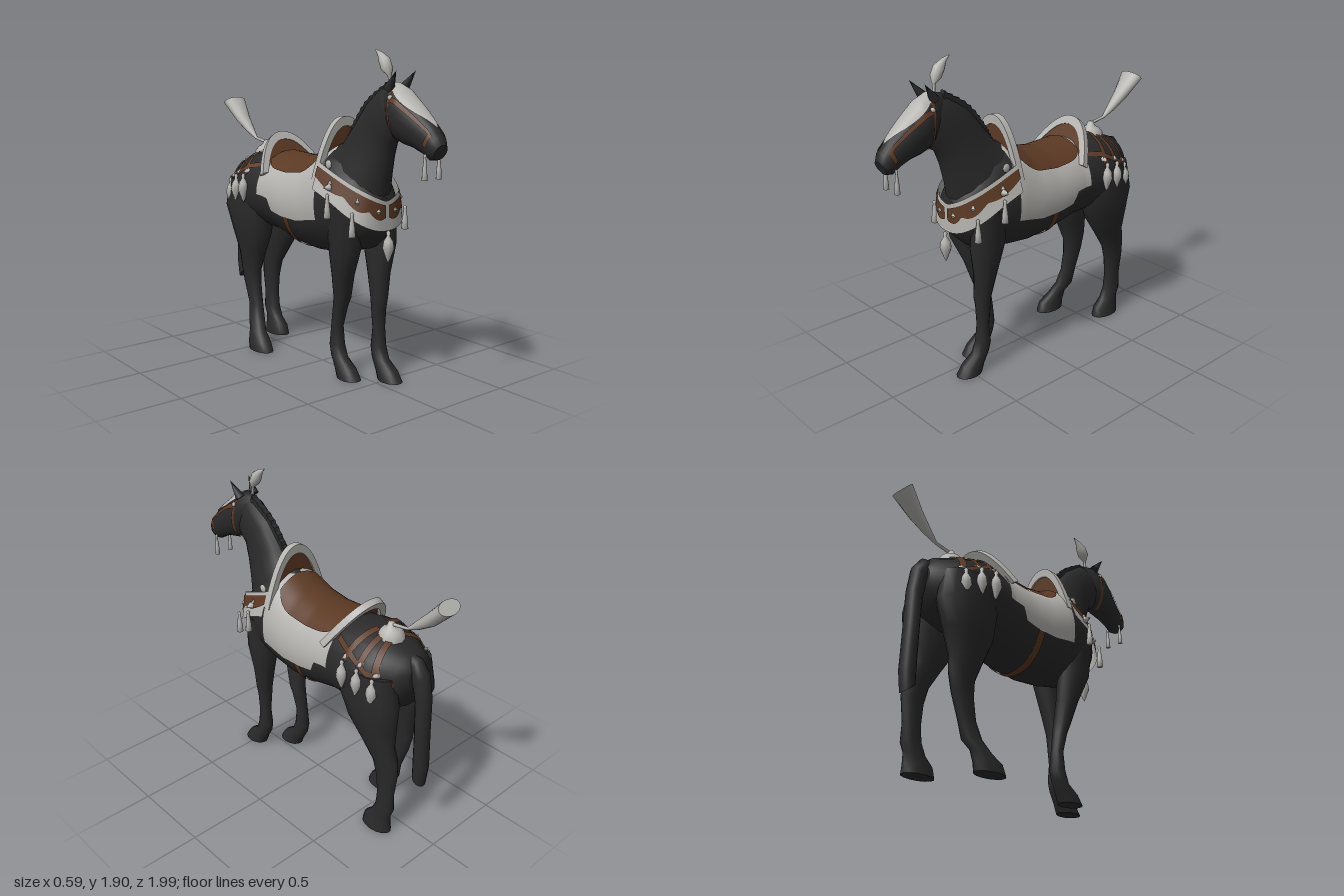
import * as THREE from 'three';

const paint = (name, color) => Object.assign(new THREE.MeshStandardMaterial({ color, side: THREE.DoubleSide }), { name });
const RAD = Math.PI / 180, lerp = THREE.MathUtils.lerp, clamp = THREE.MathUtils.clamp;
const V = (x, y, z) => new THREE.Vector3(x, y, z);

// Section: [zA, yA, zB, yB, halfWidth, x]; an ellipse whose long axis runs from B to A.
function surface(secs) {
  return (t, a, off = 0) => {
    const i = clamp(Math.floor(t), 0, secs.length - 2), f = t - i;
    const [za, ya, zb, yb, w, x] = secs[i].map((v, k) => lerp(v, secs[i + 1][k], f));
    const h = Math.hypot(za - zb, ya - yb) / 2, s = Math.sin(a) * (h + off) / (2 * h);
    return V(x + Math.cos(a) * (w + off), (ya + yb) / 2 + s * (ya - yb), (za + zb) / 2 + s * (za - zb));
  };
}

// Closed skin through the sections, with flat end caps.
function loft(secs, n = 20) {
  const P = surface(secs), pos = [], idx = [], last = secs.length - 1;
  const ring = t => { for (let j = 0; j < n; j++) pos.push(...P(t, j / n * 2 * Math.PI).toArray()); };
  for (let i = 0; i <= last; i++) ring(i);
  for (let i = 0; i < last; i++) for (let j = 0; j < n; j++) {
    const a = i * n + j, b = i * n + (j + 1) % n;
    idx.push(a, b, a + n, b, b + n, a + n);
  }
  for (const t of [0, last]) {
    const s = pos.length / 3;
    ring(t);
    for (let j = 1; j < n - 1; j++) t ? idx.push(s, s + j, s + j + 1) : idx.push(s, s + j + 1, s + j);
  }
  // Turn the faces outward if the sections run the other way.
  const p = i => V(pos[3 * i], pos[3 * i + 1], pos[3 * i + 2]);
  let vol = 0;
  for (let i = 0; i < idx.length; i += 3) vol += p(idx[i]).dot(p(idx[i + 1]).cross(p(idx[i + 2])));
  if (vol < 0) idx.reverse();
  const g = new THREE.BufferGeometry();
  g.setAttribute('position', new THREE.Float32BufferAttribute(pos, 3));
  g.setIndex(idx);
  g.computeVertexNormals();
  return g;
}

// Thin sheet following fn(u, v).
function sheet(fn, nu = 16, nv = 4) {
  const g = new THREE.PlaneGeometry(1, 1, nu, nv), p = g.attributes.position;
  for (let i = 0; i < p.count; i++) p.setXYZ(i, ...fn(p.getX(i) + 0.5, 0.5 - p.getY(i)).toArray());
  g.computeVertexNormals();
  return g;
}

const lathe = pts => new THREE.LatheGeometry(pts.map(([r, y]) => new THREE.Vector2(r, y)), 10);

export function createModel() {
  const model = new THREE.Group();
  const coat = paint('black coat', 0x292929), leather = paint('brown leather', 0x5b3923), silver = paint('pale silver', 0xb4b3af);
  const add = (name, geo, mat, pos = [0, 0, 0], parent = model) => {
    const m = new THREE.Mesh(geo, mat);
    m.name = name;
    m.position.set(...pos);
    parent.add(m);
    return m;
  };

  // Barrel: z, top, bottom, half width
  const barrel = [[-0.79, 1.15, 1.0, 0.07], [-0.75, 1.21, 0.88, 0.16], [-0.62, 1.255, 0.82, 0.24], [-0.48, 1.295, 0.8, 0.262],
    [-0.3, 1.27, 0.785, 0.238], [-0.1, 1.262, 0.735, 0.238], [0.05, 1.285, 0.72, 0.24], [0.2, 1.355, 0.73, 0.235],
    [0.33, 1.34, 0.76, 0.218], [0.44, 1.26, 0.79, 0.188], [0.515, 1.17, 0.86, 0.14], [0.55, 1.1, 0.95, 0.07]]
    .map(([z, t, b, w]) => [z, t, z, b, w, 0]);
  add('body', loft(barrel, 28), coat);
  const bodyAt = surface(barrel);
  const onBody = (z, a, off) => {
    let i = 0;
    while (i < barrel.length - 2 && barrel[i + 1][0] < z) i++;
    return bodyAt(i + (z - barrel[i][0]) / (barrel[i + 1][0] - barrel[i][0]), a, off);
  };

  // Neck, head, ears and mane
  add('neck', loft([[0.13, 1.34, 0.53, 1.0, 0.165, 0], [0.24, 1.39, 0.565, 1.19, 0.125, 0], [0.31, 1.48, 0.6, 1.31, 0.095, 0],
    [0.42, 1.61, 0.635, 1.4, 0.08, -0.005], [0.55, 1.7, 0.7, 1.44, 0.075, -0.015], [0.65, 1.7, 0.74, 1.5, 0.05, -0.015]]), coat);
  const skull = [[0.57, 1.715, 0.63, 1.47, 0.05, -0.015], [0.65, 1.73, 0.68, 1.425, 0.088, -0.015], [0.73, 1.695, 0.74, 1.405, 0.098, -0.015],
    [0.84, 1.605, 0.81, 1.39, 0.082, -0.013], [0.93, 1.525, 0.87, 1.365, 0.064, -0.01], [0.985, 1.465, 0.92, 1.335, 0.062, -0.01],
    [1.0, 1.42, 0.96, 1.34, 0.045, -0.01]];
  add('head', loft(skull), coat);
  const onHead = surface(skull);
  for (const s of [-1, 1]) {
    const ear = add('ear', new THREE.ConeGeometry(0.03, 0.12, 8), coat, [-0.017 + s * 0.062, 1.745, 0.69]);
    ear.rotation.set(0.65, 0, -s * 0.15);
  }
  const crest = new THREE.CatmullRomCurve3([V(0, 1.72, 0.58), V(0, 1.62, 0.42), V(0, 1.49, 0.31), V(0, 1.39, 0.25)]);
  const maneEdge = crest.getPoints(22).map((p, i) => [p.z - (i % 2 ? 0.005 : 0.011), p.y + (i % 2 ? 0.004 : 0.009)]);
  const mane = new THREE.Shape([...maneEdge, [0.32, 1.32], [0.45, 1.5], [0.6, 1.65]].map(([z, y]) => new THREE.Vector2(-z, y)));
  add('mane', new THREE.ExtrudeGeometry(mane, { depth: 0.036, bevelEnabled: false }).translate(0, 0, -0.018).rotateY(Math.PI / 2), coat);

  // Tail
  add('tail', loft([[-0.69, 1.215, -0.7, 1.08, 0.04, 0], [-0.8, 1.195, -0.755, 1.07, 0.05, 0], [-0.858, 1.12, -0.78, 1.0, 0.052, -0.004],
    [-0.885, 0.97, -0.795, 0.92, 0.05, -0.006], [-0.89, 0.75, -0.805, 0.72, 0.05, -0.006], [-0.9, 0.5, -0.81, 0.49, 0.05, -0.006],
    [-0.885, 0.37, -0.81, 0.43, 0.045, -0.006]], 14), coat);

  // Legs: zFront, yFront, zBack, yBack, half width; the stride shifts the lower part of the right legs
  const foreLeg = [[0.49, 1.05, 0.24, 1.02, 0.085], [0.495, 0.8, 0.27, 0.8, 0.082], [0.465, 0.63, 0.32, 0.62, 0.064], [0.46, 0.48, 0.355, 0.48, 0.053],
    [0.45, 0.42, 0.36, 0.41, 0.046], [0.445, 0.3, 0.37, 0.29, 0.038], [0.455, 0.19, 0.36, 0.18, 0.046], [0.49, 0.11, 0.37, 0.12, 0.044],
    [0.56, 0.06, 0.41, 0.05, 0.056], [0.6, 0, 0.43, 0, 0.062]];
  const hindLeg = [[-0.36, 1.1, -0.75, 1.1, 0.1], [-0.37, 0.92, -0.783, 0.92, 0.12], [-0.43, 0.76, -0.767, 0.76, 0.1], [-0.53, 0.62, -0.757, 0.62, 0.07],
    [-0.61, 0.5, -0.785, 0.53, 0.052], [-0.64, 0.4, -0.785, 0.42, 0.046], [-0.65, 0.28, -0.768, 0.28, 0.038], [-0.645, 0.18, -0.77, 0.17, 0.046],
    [-0.61, 0.11, -0.75, 0.12, 0.044], [-0.56, 0.06, -0.75, 0.05, 0.056], [-0.545, 0, -0.755, 0, 0.062]];
  const leg = (name, secs, xTop, xLow, kick, shift, reach) => add(name, loft(secs.map(([za, ya, zb, yb, w]) => {
    const k = clamp((0.92 - ya) / reach, 0, 1), dz = shift * k;
    const x = lerp(xTop, xLow, clamp((0.92 - ya) / 0.45, 0, 1)) + kick * clamp((0.22 - ya) / 0.15, 0, 1);
    return [za + dz, ya, zb + dz, yb, w, x];
  }), 14), coat);
  leg('leftFrontLeg', foreLeg, 0.13, 0.1, -0.005, 0, 0.5);
  leg('rightFrontLeg', foreLeg, -0.13, -0.072, 0, -0.175, 0.6);
  leg('leftHindLeg', hindLeg, 0.145, 0.118, 0, 0, 0.5);
  leg('rightHindLeg', hindLeg, -0.145, -0.128, -0.05, 0.235, 0.9);

  // Saddle cloth with a shorter rear corner, seat and girth
  const cloth = (z0, z1, low0, low1) => sheet((u, v) => {
    const low = lerp(low0, low1, u);
    return onBody(lerp(z0, z1, u), lerp(low, Math.PI - low, v), 0.013);
  }, 16, 36);
  add('saddleCloth', cloth(0.23, -0.2, -0.31, -0.26), silver);
  add('saddleClothCorner', cloth(-0.2, -0.235, -0.26, 0), silver);
  add('saddleClothRear', cloth(-0.235, -0.34, 0, 0), silver);
  add('seat', sheet((u, v) => {
    const low = (41 + 14 * Math.abs(2 * u - 1) ** 6) * RAD;
    return onBody(lerp(0.165, -0.32, u), lerp(low, Math.PI - low, v), 0.021);
  }, 20, 20), leather);
  add('girth', sheet((u, v) => onBody(lerp(-0.04, -0.09, v), lerp(-10, -170, u) * RAD, 0.007), 28, 2), leather);

  // Pommel and cantle: arched rims with a leather lining
  const arc = (w, foot, top) => Array.from({ length: 25 }, (_, i) => {
    const k = i / 12 - 1;
    return new THREE.Vector2(k * w, top - (top - foot) * Math.abs(k) ** 2.2);
  });
  const arch = (name, w, height, side) => {
    const g = new THREE.Group(), inner = arc(w - 0.04, 0, height - 0.055);
    g.name = name;
    const rim = new THREE.Shape([...arc(w, 0, height), ...[...inner].reverse()]);
    add(name + 'Rim', new THREE.ExtrudeGeometry(rim, { depth: 0.04, bevelEnabled: false }).translate(0, 0, -0.02), silver, [0, 0, 0], g);
    add(name + 'Lining', new THREE.ExtrudeGeometry(new THREE.Shape(inner), { depth: 0.008, bevelEnabled: false }), leather, [0, 0, side * 0.008], g);
    model.add(g);
    return g;
  };
  arch('pommel', 0.228, 0.35, -1).position.set(0, 1.18, 0.205);
  const cantle = arch('cantle', 0.245, 0.275, 1);
  cantle.position.set(0, 1.16, -0.29);
  cantle.rotation.x = -0.55;

  // Breast collar: x, z, top, bottom of the left half, mirrored
  const half = [[0, 0.572, 1.08, 0.91], [0.08, 0.567, 1.1, 0.92], [0.15, 0.54, 1.13, 0.95], [0.205, 0.465, 1.17, 1.0], [0.24, 0.36, 1.22, 1.07], [0.252, 0.22, 1.28, 1.13]];
  const full = [...half.slice(1).reverse().map(([x, ...r]) => [-x, ...r]), ...half];
  const topEdge = new THREE.CatmullRomCurve3(full.map(([x, z, t]) => V(x * 0.79, t, z)));
  const lowEdge = new THREE.CatmullRomCurve3(full.map(([x, z, , b]) => V(x, b, z)));
  const collarAt = (u, v, off = 0) => {
    const p = topEdge.getPoint(u).lerp(lowEdge.getPoint(u), v);
    return p.add(V(p.x, 0, p.z - 0.2).normalize().multiplyScalar(off));
  };
  add('breastCollar', sheet((u, v) => collarAt(u, v), 40, 4), silver);
  // Two scalloped leather bands meeting at a pale knot in the middle
  for (const [u0, u1] of [[0, 0.485], [0.515, 1]]) {
    add('collarBand', sheet((u, v) => {
      const w = lerp(u0, u1, u);
      return collarAt(w, lerp(0.14, 0.5 + 0.16 * Math.abs(Math.sin(w * 6 * Math.PI)), v), 0.006);
    }, 36, 3), leather);
  }
  for (let i = 1; i < 12; i += 2) {
    const d = add('collarStud', new THREE.OctahedronGeometry(0.02), silver, collarAt(i / 12, 0.4, 0.004).toArray());
    d.scale.z = 0.7;
  }

  // Hanging ornaments
  const tassel = lathe([[0, -0.14], [0.021, -0.14], [0.017, -0.09], [0.008, -0.02], [0.011, -0.01], [0, 0]]);
  const drop = lathe([[0, -0.19], [0.012, -0.165], [0.034, -0.105], [0.028, -0.065], [0.009, -0.035], [0.013, -0.015], [0, 0]]);
  const spike = new THREE.ConeGeometry(0.022, 0.045, 8);
  add('chestDrop', drop, silver, [0, 0.92, 0.588]);
  for (const s of [-1, 1]) {
    add('collarTassel', tassel, silver, [s * 0.2, 1.03, 0.51]);
    add('collarTassel', tassel, silver, [s * 0.25, 1.12, 0.355]);
    add('bitTassel', tassel, silver, [-0.01 + s * 0.052, 1.375, 0.92]).scale.set(0.75, 1, 0.75);
    add('collarSpike', spike, silver, [s * 0.25, 1.15, 0.345]).rotation.z = -s * Math.PI / 2;
    add('shoulderBoss', new THREE.SphereGeometry(0.026, 10, 8), silver, [s * 0.183, 1.27, 0.285]).scale.x = 0.4;
  }

  // Rump harness: fan of straps, side strap, tassels and spikes
  const sideAngle = (a, s) => (s > 0 ? a : 180 - a) * RAD;
  for (const s of [-1, 1]) {
    for (const z of [-0.47, -0.57, -0.665]) {
      add('rumpStrap', sheet((u, v) => onBody(lerp(lerp(-0.58, z, 0.5), z, u) + (v - 0.5) * 0.036, sideAngle(lerp(82, 22, u), s), 0.008), 20, 2), leather);
      const p = onBody(z, sideAngle(z < -0.6 ? 20 : 26, s), 0.01);
      add('rumpSpike', spike, silver, p.toArray()).rotation.z = -s * Math.PI / 2;
      add('rumpDrop', drop, silver, [p.x + s * 0.018, p.y - 0.005, p.z]);
    }
    add('sideStrap', sheet((u, v) => onBody(lerp(-0.36, -0.755, u), sideAngle(lerp(46, 8, u) + (v - 0.5) * 8, s), 0.007), 20, 2), leather);
  }
  add('rumpBoss', lathe([[0.082, -0.03], [0.078, 0.012], [0.055, 0.04], [0.028, 0.055], [0.018, 0.08], [0, 0.085]]), silver, [0, 1.255, -0.585]);
  add('rumpPlume', loft([[-0.6, 1.335, -0.6, 1.315, 0.01, 0], [-0.7, 1.35, -0.705, 1.335, 0.01, 0], [-0.755, 1.41, -0.79, 1.375, 0.028, 0],
    [-0.83, 1.49, -0.885, 1.435, 0.048, 0], [-0.93, 1.605, -0.995, 1.545, 0.08, 0]], 14), silver);

  // Face plate and bridle
  add('facePlate', sheet((u, v) => {
    const w = 49 * RAD * Math.sin(Math.PI * (0.15 + 0.85 * u) ** 0.8);
    return onHead(lerp(1.15, 4.5, u), Math.PI / 2 + w * (2 * v - 1), 0.007);
  }, 24, 10), silver);
  for (const s of [-1, 1]) {
    add('noseStrap', sheet((u, v) => onHead(4.35 + 0.35 * v, sideAngle(lerp(-8, 46, u), s), 0.006), 12, 2), leather);
    add('throatStrap', sheet((u, v) => onHead(1.15 + 0.28 * v, sideAngle(lerp(58, -75, u), s), 0.006), 18, 2), leather);
    add('cheekStrap', sheet((u, v) => onHead(lerp(1.3, 4.5, u), sideAngle(lerp(24, 34, u) + 13 * v, s), 0.006), 18, 2), leather);
    add('bridleBoss', new THREE.SphereGeometry(0.015, 8, 6), silver, onHead(1.4, sideAngle(34, s), 0.002).toArray());
  }

  // Head plume on a short stalk
  add('headPlume', loft([[0.625, 1.7, 0.605, 1.7, 0.014, -0.025], [0.617, 1.74, 0.603, 1.74, 0.008, -0.025], [0.618, 1.765, 0.598, 1.765, 0.012, -0.027],
    [0.622, 1.81, 0.565, 1.79, 0.036, -0.03], [0.6, 1.86, 0.54, 1.83, 0.032, -0.03], [0.55, 1.89, 0.525, 1.867, 0.016, -0.03],
    [0.5, 1.905, 0.498, 1.9, 0.003, -0.03]], 12), silver);
  return model;
}
